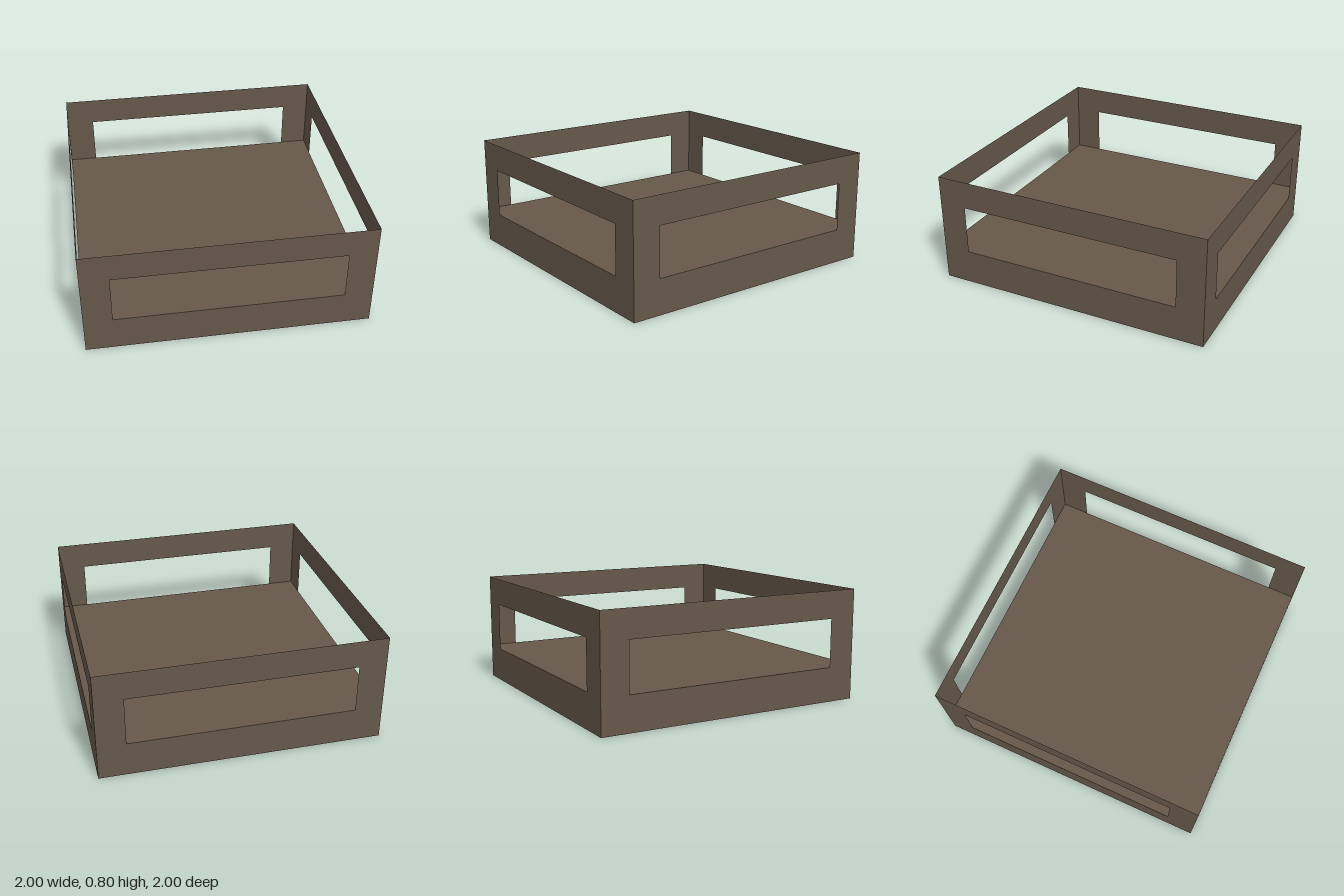
import * as THREE from 'three';

const HALF = 1, FLOOR = 0.25, TOP = 0.8, OPEN_HALF = 0.8, OPEN_TOP = 0.6;

export function createModel() {
  const group = new THREE.Group();
  const brown = new THREE.MeshStandardMaterial({ color: 0x66584b, side: THREE.DoubleSide });
  brown.name = 'brown';

  // Solid base slab, its top forming the tray floor
  const base = new THREE.Mesh(new THREE.BoxGeometry(2 * HALF, FLOOR, 2 * HALF), brown);
  base.name = 'base';
  base.position.y = FLOOR / 2;
  group.add(base);

  // Sheet-thin frame: two corner posts joined by a top rail
  const frame = new THREE.Shape([
    [-HALF, FLOOR], [-OPEN_HALF, FLOOR], [-OPEN_HALF, OPEN_TOP], [OPEN_HALF, OPEN_TOP],
    [OPEN_HALF, FLOOR], [HALF, FLOOR], [HALF, TOP], [-HALF, TOP],
  ].map(([x, y]) => new THREE.Vector2(x, y)));
  const frameGeometry = new THREE.ShapeGeometry(frame).translate(0, 0, HALF);

  // One frame on each side
  ['frontFrame', 'leftFrame', 'backFrame', 'rightFrame'].forEach((name, i) => {
    const side = new THREE.Mesh(frameGeometry, brown);
    side.name = name;
    side.rotation.y = i * Math.PI / 2;
    group.add(side);
  });

  return group;
}
